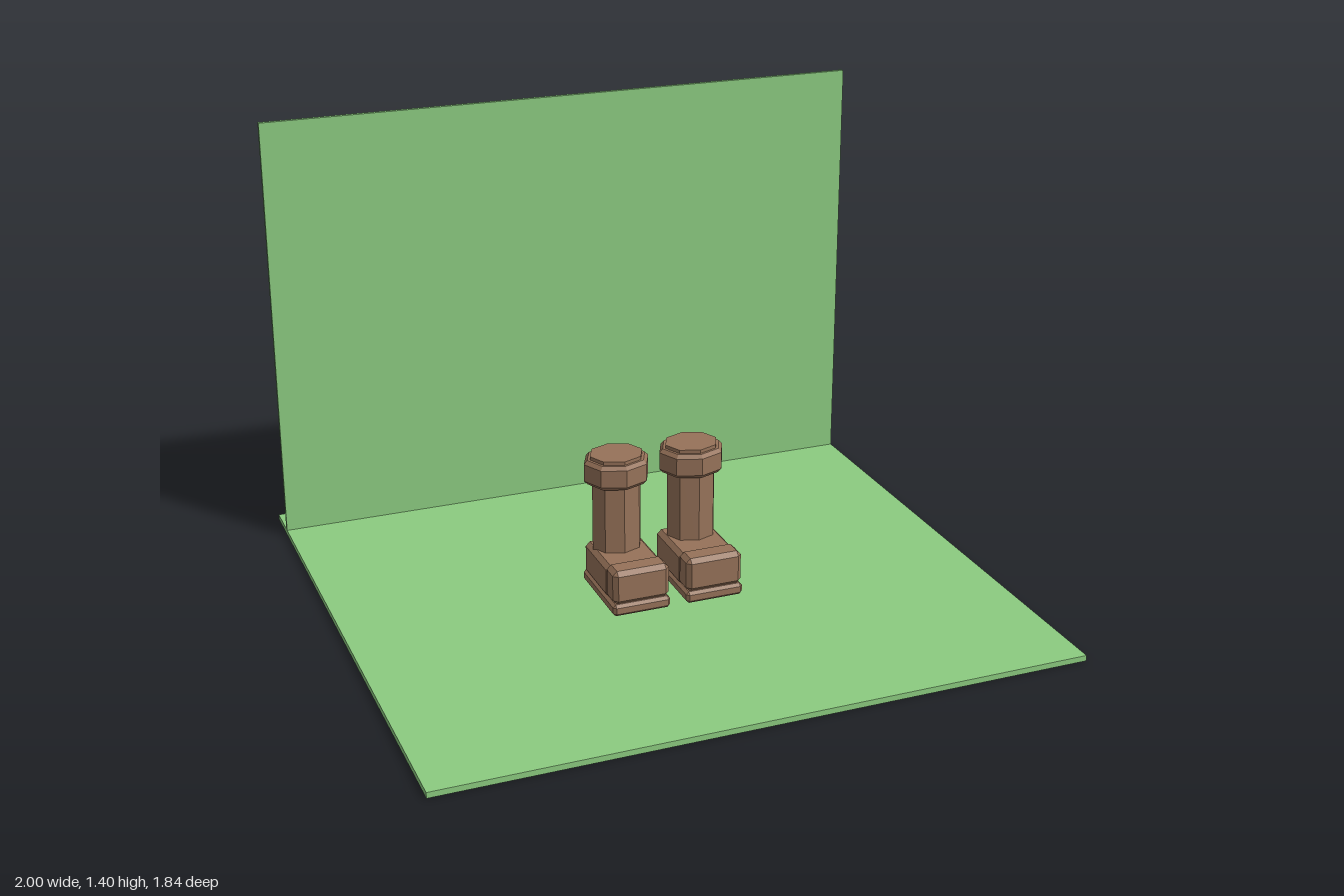
import * as THREE from 'three';
import { ConvexGeometry } from 'three/addons/geometries/ConvexGeometry.js';

const green = new THREE.MeshStandardMaterial({ name: 'green', color: 0x8ccb80 });
const brown = new THREE.MeshStandardMaterial({ name: 'brown', color: 0x967259 });

function add(parent, name, geometry, material) {
  const mesh = new THREE.Mesh(geometry, material);
  mesh.name = name;
  parent.add(mesh);
  return mesh;
}

// Box between two corners
function box(x0, x1, y0, y1, z0, z1) {
  return new THREE.BoxGeometry(x1 - x0, y1 - y0, z1 - z0)
    .translate((x0 + x1) / 2, (y0 + y1) / 2, (z0 + z1) / 2);
}

// Box with all edges chamfered by c
function chamferBox(halfX, y0, y1, z0, z1, c) {
  const half = [halfX, (y1 - y0) / 2, (z1 - z0) / 2];
  const points = [];
  for (const sx of [-1, 1]) for (const sy of [-1, 1]) for (const sz of [-1, 1])
    for (let axis = 0; axis < 3; axis++) {
      const p = [sx, sy, sz].map((s, i) => s * (half[i] - (i === axis ? 0 : c)));
      points.push(new THREE.Vector3(...p));
    }
  return new ConvexGeometry(points).translate(0, (y0 + y1) / 2, (z0 + z1) / 2);
}

// Eight-sided turned part with crisp facets, slightly narrower front to back
function turned(profile) {
  const lathe = new THREE.LatheGeometry(profile.map(([r, y]) => new THREE.Vector2(r, y)), 8);
  const flat = lathe.toNonIndexed().scale(1, 1, 0.9);
  flat.computeVertexNormals();
  return flat;
}

function createBoot(name) {
  const boot = new THREE.Group();
  boot.name = name;
  add(boot, 'sole', chamferBox(0.093, 0.03, 0.068, -0.068, 0.213, 0.009), brown);
  add(boot, 'foot', chamferBox(0.09, 0.06, 0.168, -0.06, 0.15, 0.014), brown);
  add(boot, 'toeCap', chamferBox(0.091, 0.066, 0.176, 0.132, 0.211, 0.014), brown);
  const shaft = add(boot, 'shaft', turned([[0, 0.13], [0.072, 0.13], [0.079, 0.142], [0.079, 0.41], [0, 0.41]]), brown);
  const cuff = add(boot, 'cuff', turned([
    [0, 0.385], [0.094, 0.385], [0.105, 0.397], [0.105, 0.452], [0.094, 0.464],
    [0.085, 0.464], [0.085, 0.475], [0, 0.475]
  ]), brown);
  // The leg stands slightly outside the middle of the foot
  shaft.position.x = cuff.position.x = 0.004;
  return boot;
}

export function createModel() {
  const model = new THREE.Group();
  model.name = 'bootsDisplay';
  add(model, 'floor', box(-1, 1, 0, 0.018, -0.918, 0.918), green);
  add(model, 'backWall', box(-1, 1, 0.005, 1.4, -0.799, -0.785), green);

  // Pair of boots, one turned-over copy of the other
  const left = createBoot('leftBoot');
  left.position.x = 0.117;
  const right = createBoot('rightBoot');
  right.position.x = -0.122;
  right.children.forEach((part) => { part.position.x *= -1; });
  model.add(left, right);
  return model;
}
